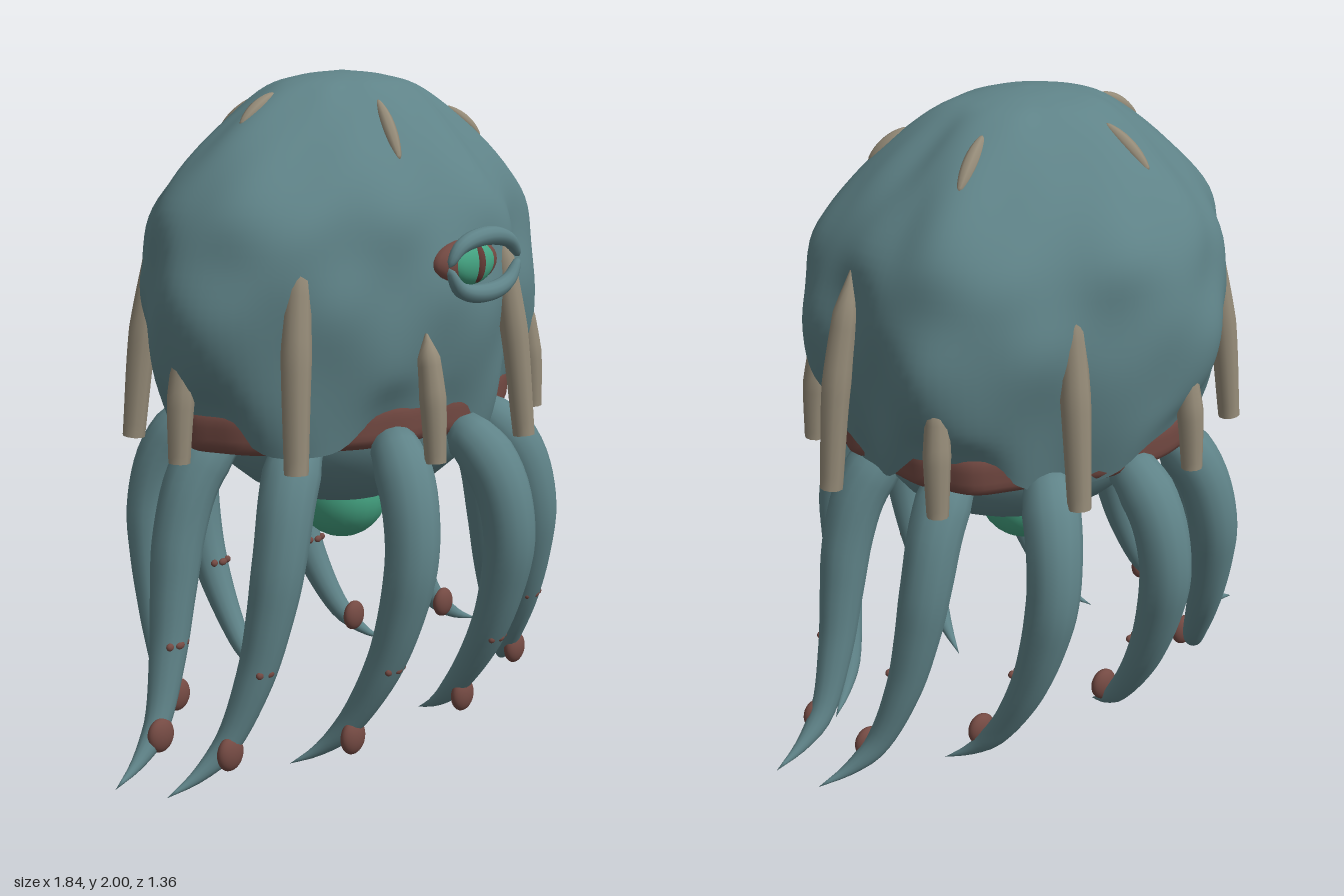
import * as THREE from 'three';
import { mergeVertices } from 'three/addons/utils/BufferGeometryUtils.js';

const V = (x, y, z) => new THREE.Vector3(x, y, z);
const rad = THREE.MathUtils.degToRad;
const { smoothstep, lerp } = THREE.MathUtils;
const TAU = Math.PI * 2;
const RX = 0.68, RZ = 0.53;

// lumpy outline of the head: radius factor every 18 degrees, from the front towards +x
const lumps = new THREE.CatmullRomCurve3(
  [0.93, 0.95, 0.92, 1.04, 0.99, 0.92, 0.96, 1.04, 1.02, 0.99, 1.07, 1.09, 1.02, 0.98, 1.01, 1.07, 1.05, 0.98, 0.92, 0.91]
    .map(k => V(k, 0, 0)), true, 'catmullrom');
const lump = a => lumps.getPoint((((a / TAU) % 1) + 1) % 1).x;
const profile = pts => new THREE.CatmullRomCurve3(pts.map(([r, y]) => V(r, y, 0)), false, 'catmullrom');

const headProfile = profile([[0, 2], [0.21, 1.985], [0.41, 1.94], [0.7, 1.79], [0.91, 1.63], [0.975, 1.48], [1, 1.33], [0.95, 1.15], [0.87, 1.0]]);
const frillProfile = profile([[0.7, 1.11], [0.85, 1.08], [0.87, 1.01], [0.83, 0.95], [0.6, 0.94], [0, 0.97]]);

function headPoint(a, v) {
  const p = headProfile.getPoint(v);
  const bump = 0.012 * Math.sin(5 * a + 11 * v) + 0.01 * Math.sin(9 * a - 16 * v + 1) + 0.006 * Math.sin(13 * a + 21 * v + 2);
  const k = p.x * (lerp(1, lump(a), smoothstep(v, 0.05, 0.38)) + bump * smoothstep(v, 0.05, 0.3));
  // the lower rim waves up and down five times
  const wave = 0.06 * Math.tanh(1.6 * Math.cos(5 * (a + rad(18))));
  return V(RX * k * Math.sin(a), p.y + wave * smoothstep(v, 0.8, 1), RZ * k * Math.cos(a));
}

function frillPoint(a, v) {
  const p = frillProfile.getPoint(v);
  const k = p.x * (lump(a) + 0.015 * Math.sin(11 * a) + 0.008 * Math.sin(19 * a + 1));
  return V(RX * k * Math.sin(a), p.y, RZ * k * Math.cos(a));
}

// closed shell around the y axis from a point function
function shell(point, rows, cols) {
  const pos = [], idx = [];
  for (let i = 0; i <= rows; i++)
    for (let j = 0; j < cols; j++) pos.push(...point((j / cols) * TAU, i / rows).toArray());
  for (let i = 0; i < rows; i++)
    for (let j = 0; j < cols; j++) {
      const n = (j + 1) % cols, a = i * cols + j, b = i * cols + n, c = a + cols, d = b + cols;
      idx.push(a, c, b, b, c, d);
    }
  let g = new THREE.BufferGeometry();
  g.setAttribute('position', new THREE.Float32BufferAttribute(pos, 3));
  g.setIndex(idx);
  g = mergeVertices(g, 1e-5);
  g.computeVertexNormals();
  return g;
}

// tube whose radius follows a function of its length
function sweep(points, radius, segs = 24, sides = 12) {
  const curve = new THREE.CatmullRomCurve3(points);
  let g = new THREE.TubeGeometry(curve, segs, 1, sides);
  const pos = g.attributes.position, q = V(0, 0, 0);
  for (let i = 0; i <= segs; i++) {
    const c = curve.getPointAt(i / segs), r = radius(i / segs);
    for (let j = 0; j <= sides; j++) {
      const n = i * (sides + 1) + j;
      q.fromBufferAttribute(pos, n).sub(c).multiplyScalar(r).add(c);
      pos.setXYZ(n, q.x, q.y, q.z);
    }
  }
  g.deleteAttribute('uv');
  g.deleteAttribute('normal');
  g = mergeVertices(g, 1e-5);
  g.computeVertexNormals();
  return g;
}

const ramp = stops => t => {
  for (let i = 1; i < stops.length; i++) {
    const [t0, r0] = stops[i - 1], [t1, r1] = stops[i];
    if (t <= t1) return r0 + (r1 - r0) * (t - t0) / (t1 - t0);
  }
  return stops[stops.length - 1][1];
};

export function createModel() {
  const model = new THREE.Group();
  const mat = (name, color, side = THREE.FrontSide) => {
    const m = new THREE.MeshStandardMaterial({ color, side });
    m.name = name;
    return m;
  };
  const skin = mat('teal skin', 0x5f8388, THREE.DoubleSide);
  const flesh = mat('maroon flesh', 0x744a43);
  const bone = mat('tan bone', 0x958b78);
  const green = mat('green', 0x45a583);
  const dark = mat('dark maroon', 0x643a35);
  const add = (name, geo, material, parent = model) => {
    const m = new THREE.Mesh(geo, material);
    m.name = name;
    parent.add(m);
    return m;
  };
  const ball = new THREE.SphereGeometry(1, 24, 16);
  const ellipsoid = (name, p, s, material, parent) => {
    const m = add(name, ball, material, parent);
    m.position.copy(p);
    m.scale.set(...s);
    return m;
  };

  // head, frill under its rim, belly and glowing sac
  add('head', shell(headPoint, 44, 120), skin);
  add('frill', shell(frillPoint, 20, 120), flesh);
  ellipsoid('belly', V(0.02, 1.0, 0), [0.48, 0.31, 0.41], skin);
  ellipsoid('sac', V(0, 0.7, 0), [0.145, 0.145, 0.145], green);

  // eye with slit pupil and two heavy lids
  const eye = new THREE.Group();
  eye.name = 'eye';
  eye.position.set(0, 1.467, 0.465);
  model.add(eye);
  ellipsoid('eyeball', V(0, 0, 0), [0.14, 0.07, 0.055], flesh, eye);
  ellipsoid('iris', V(0, 0, 0.026), [0.095, 0.062, 0.04], green, eye);
  ellipsoid('pupil', V(0, 0, 0.042), [0.024, 0.056, 0.03], dark, eye);
  for (const s of [1, -1]) {
    const lid = [V(-0.16, 0.005, 0.068), V(-0.115, 0.058 * s, 0.073), V(0, 0.081 * s, 0.076), V(0.115, 0.058 * s, 0.073), V(0.175, 0.005, 0.068)];
    add(s > 0 ? 'upperLid' : 'lowerLid', sweep(lid, t => 0.027 * Math.pow(Math.max(0, Math.sin(Math.PI * t)), 0.4)), skin, eye);
  }

  // ten tentacles: x spreads outward while z curls back in towards the tip
  const path = [[0.36, 0.38, 0.97], [0.46, 0.48, 0.93], [0.54, 0.565, 0.83], [0.595, 0.605, 0.67], [0.63, 0.58, 0.5],
    [0.67, 0.515, 0.32], [0.75, 0.39, 0.12], [0.84, 0.31, 0.045], [0.94, 0.24, 0.004]];
  const thick = ramp([[0, 0], [0.05, 0.07], [0.14, 0.085], [0.4, 0.075], [0.65, 0.054], [0.85, 0.034], [1, 0]]);
  for (let i = 0; i < 10; i++) {
    const a = rad(6 + 36 * i), sx = Math.sin(a), cz = Math.cos(a);
    const at = ([fx, fz, y]) => V(fx * sx, y, fz * cz);
    const limb = new THREE.Group();
    limb.name = 'tentacle' + (i + 1);
    model.add(limb);
    add('arm', sweep(path.map(at), thick, 36, 14), skin, limb);
    ellipsoid('wart', at([0.755, 0.375, 0.108]).add(V(0, 0, 0.015 + 0.04 * Math.abs(cz))), [0.046, 0.052, 0.027], flesh, limb);
    // three small spots across the front
    const y = 0.355 - 0.02 * cz;
    for (const k of [-1, 0, 1])
      ellipsoid('spot', at([0.665, 0.525, y]).add(V(k * 0.03, 0, k ? 0.041 : 0.051)), [k ? 0.013 : 0.016, 0.012, 0.01], flesh, limb);
  }

  // ten hanging spikes, long and short in turn, and a ridge above each short one
  const spike = ramp([[0, 0.034], [0.5, 0.043], [0.82, 0.036], [1, 0.004]]);
  const ridgeSpans = [[2.35, 2.95], [2.1, 2.9], [2.1, 2.9], [1.95, 2.6], [2.1, 3.2]];
  for (let i = 0; i < 10; i++) {
    const a = rad(18 + 36 * i), long = i % 2 === 0;
    const at = (x, y, z) => V(x * Math.sin(a), y, z * Math.cos(a));
    const points = long
      ? [at(0.7, 0.93, 0.565), at(0.665, 1.25, 0.525), at(0.6, 1.57, 0.465)]
      : [at(0.69, 0.93, 0.565), at(0.68, 1.1, 0.55), at(0.655, 1.29, 0.515)];
    const size = long ? 1 : 0.92;
    add(long ? 'longSpike' : 'shortSpike', sweep(points, t => spike(t) * size, 16, 10), bone);
    const cap = add('spikeEnd', new THREE.CircleGeometry(0.034 * size, 10), bone);
    cap.rotation.x = Math.PI / 2;
    cap.position.copy(points[0]);
    if (!long) {
      const [from, to] = ridgeSpans[(i - 1) / 2];
      const ridge = [0, 1, 2, 3].map(n => headPoint(a, lerp(from, to, n / 3) / 8).add(V(0, -0.006, 0)));
      add('ridge', sweep(ridge, t => 0.022 * Math.pow(Math.max(0, Math.sin(Math.PI * t)), 0.6), 14, 8), bone);
    }
  }
  return model;
}
